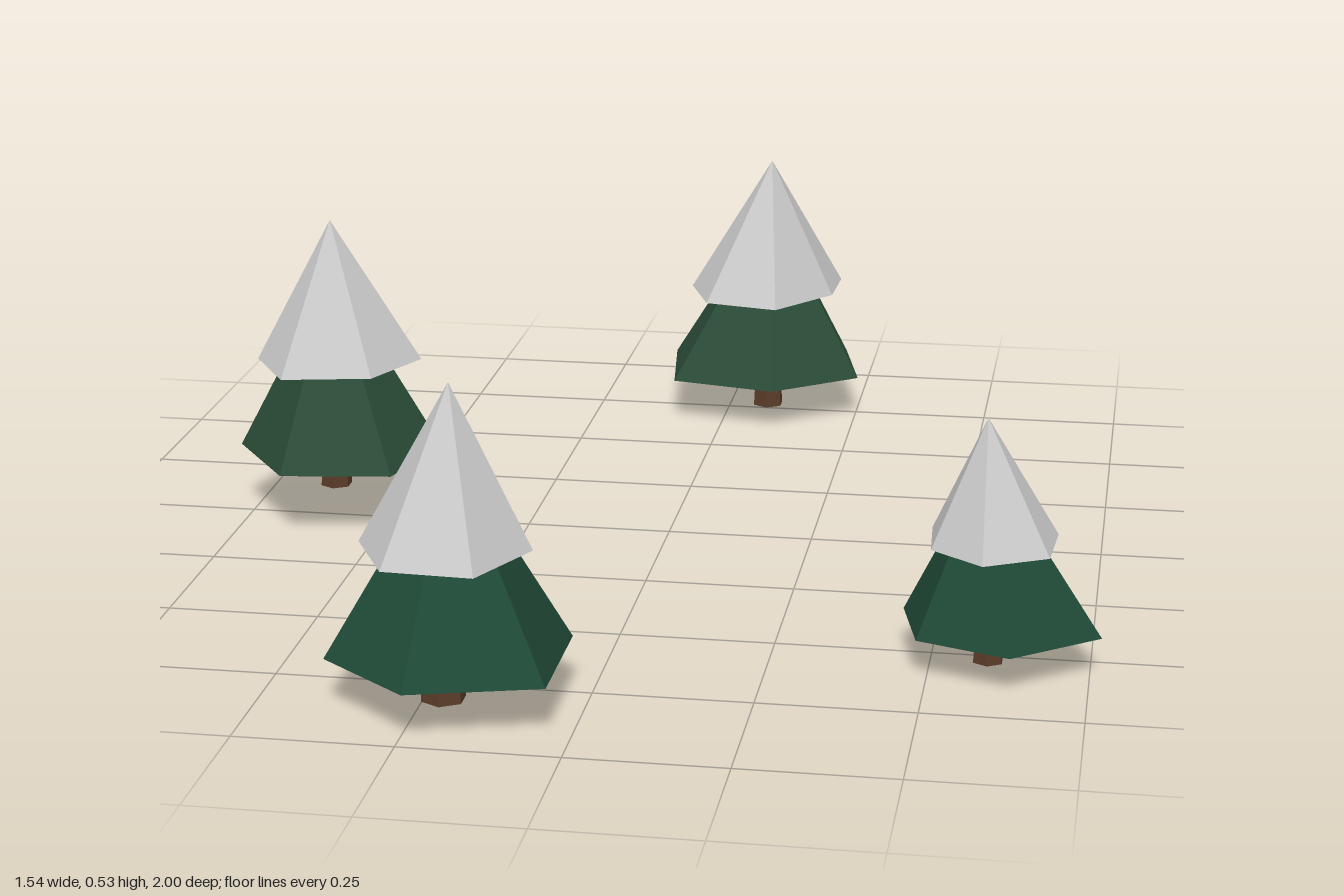
import * as THREE from 'three';

const paint = (color) => new THREE.MeshStandardMaterial({ color, flatShading: true });
const bark = paint(0x5a3c28);
const needles = [paint(0x2a4c38), paint(0x1f4836)];
const snow = paint(0xcccccc);

// Each tree: trunk [x, z, ground y, radius], heights of the tiers, irregular six-sided rims [x, z]
const trees = [
  {
    name: 'backTree', green: 0, trunk: [0.073, -0.78, 0, 0.03], low: [0.08, 0.4], high: [0.23, 0.49], tip: [0.077, -0.78],
    lowRim: [[0.034, -1], [0.214, -0.905], [0.256, -0.714], [0.103, -0.597], [-0.092, -0.64], [-0.119, -0.85]],
    highRim: [[0.024, -0.92], [0.203, -0.889], [0.198, -0.767], [0.103, -0.64], [-0.034, -0.67], [-0.08, -0.795]],
  },
  {
    name: 'rightTree', green: 0, trunk: [-0.602, -0.02, 0.05, 0.028], low: [0.117, 0.44], high: [0.277, 0.53], tip: [-0.603, -0.03],
    lowRim: [[-0.736, -0.185], [-0.536, -0.204], [-0.42, -0.063], [-0.467, 0.123], [-0.657, 0.15], [-0.773, -0.016]],
    highRim: [[-0.694, -0.14], [-0.541, -0.167], [-0.452, -0.058], [-0.51, 0.074], [-0.662, 0.106], [-0.737, -0.016]],
  },
  {
    name: 'frontTree', green: 1, trunk: [-0.22, 0.807, 0, 0.036], low: [0.08, 0.4], high: [0.24, 0.5], tip: [-0.207, 0.79],
    lowRim: [[-0.193, 0.593], [-0.035, 0.72], [-0.035, 0.937], [-0.24, 0.995], [-0.389, 0.873], [-0.383, 0.683]],
    highRim: [[-0.277, 0.67], [-0.14, 0.672], [-0.082, 0.786], [-0.145, 0.92], [-0.288, 0.913], [-0.352, 0.786]],
  },
  {
    name: 'leftSmallTree', green: 1, trunk: [0.59, 0.52, 0, 0.026], low: [0.063, 0.335], high: [0.193, 0.4], tip: [0.58, 0.523],
    lowRim: [[0.551, 0.35], [0.699, 0.406], [0.767, 0.56], [0.631, 0.668], [0.483, 0.614], [0.452, 0.475]],
    highRim: [[0.594, 0.39], [0.691, 0.454], [0.683, 0.57], [0.583, 0.623], [0.499, 0.559], [0.493, 0.45]],
  },
];

// Closed pyramid from a rim to a tip
function tier(rim, [base, top], [tx, tz]) {
  const p = [];
  rim.forEach(([ax, az], i) => {
    const [bx, bz] = rim[(i + 1) % rim.length];
    p.push(tx, top, tz, bx, base, bz, ax, base, az); // slope
    p.push(tx, base, tz, ax, base, az, bx, base, bz); // underside
  });
  const g = new THREE.BufferGeometry();
  g.setAttribute('position', new THREE.Float32BufferAttribute(p, 3));
  g.computeVertexNormals();
  return g;
}

function add(group, name, geometry, material) {
  const mesh = new THREE.Mesh(geometry, material);
  mesh.name = name;
  group.add(mesh);
  return mesh;
}

export function createModel() {
  const model = new THREE.Group();
  model.name = 'snowyTrees';
  for (const t of trees) {
    const tree = new THREE.Group();
    tree.name = t.name;
    const [x, z, y, r] = t.trunk;
    const height = t.high[0] - y;
    // Tapered trunk reaching up into the lower tier
    add(tree, 'trunk', new THREE.CylinderGeometry(r * 0.6, r, height, 6), bark)
      .position.set(x, y + height / 2, z);
    add(tree, 'lowerBranches', tier(t.lowRim, t.low, t.tip), needles[t.green]);
    add(tree, 'snowyTop', tier(t.highRim, t.high, t.tip), snow);
    model.add(tree);
  }
  return model;
}
